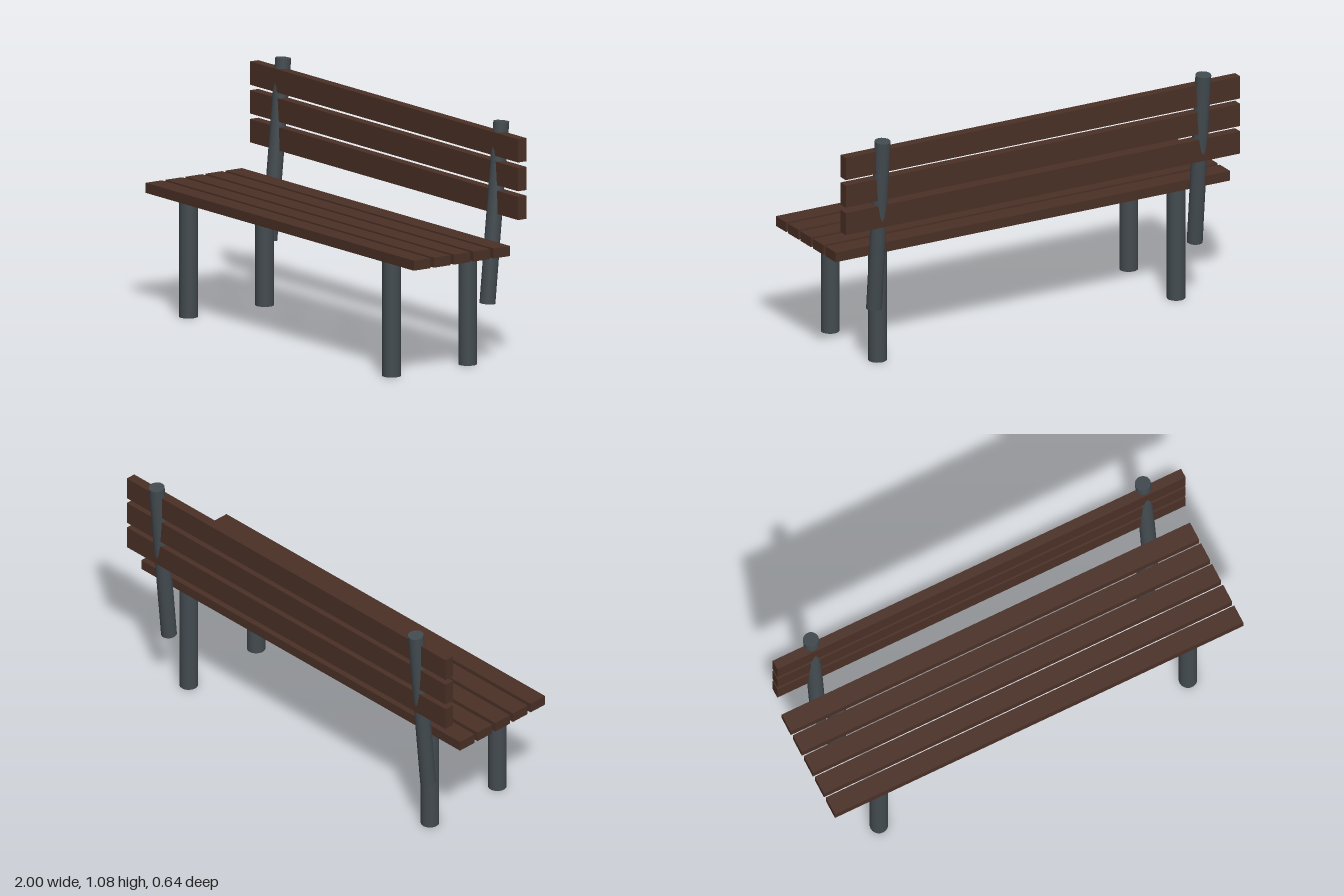
import * as THREE from 'three';

export function createModel() {
  const bench = new THREE.Group();
  bench.name = 'bench';

  const wood = new THREE.MeshStandardMaterial({ color: 0x4a3026 });
  wood.name = 'dark wood';
  const metal = new THREE.MeshStandardMaterial({ color: 0x434b50 });
  metal.name = 'grey metal';

  const add = (name, geometry, material, x, y, z) => {
    const mesh = new THREE.Mesh(geometry, material);
    mesh.name = name;
    mesh.position.set(x, y, z);
    bench.add(mesh);
    return mesh;
  };

  // Five seat slats, front to back
  const seatSlat = new THREE.BoxGeometry(2, 0.045, 0.089);
  for (let i = 0; i < 5; i++) {
    add(`seatSlat${i + 1}`, seatSlat, wood, 0, 0.542, 0.277 - i * 0.108);
  }

  // Three upright backrest slats, bottom to top
  const backSlat = new THREE.BoxGeometry(2, 0.104, 0.045);
  for (let i = 0; i < 3; i++) {
    add(`backSlat${i + 1}`, backSlat, wood, 0, 0.727 + i * 0.129, -0.265);
  }

  // Round legs and leaning back posts, mirrored on both sides
  const leg = new THREE.CylinderGeometry(0.041, 0.041, 0.52, 20);
  const post = new THREE.CylinderGeometry(0.035, 0.035, 0.81, 20);
  for (const [side, s] of [['left', 1], ['right', -1]]) {
    add(`${side}FrontLeg`, leg, metal, s * 0.757, 0.26, 0.266);
    add(`${side}BackLeg`, leg, metal, s * 0.757, 0.26, -0.146);
    const p = add(`${side}BackPost`, post, metal, s * 0.813, 0.677, -0.25);
    p.rotation.x = -0.093;
  }

  return bench;
}
